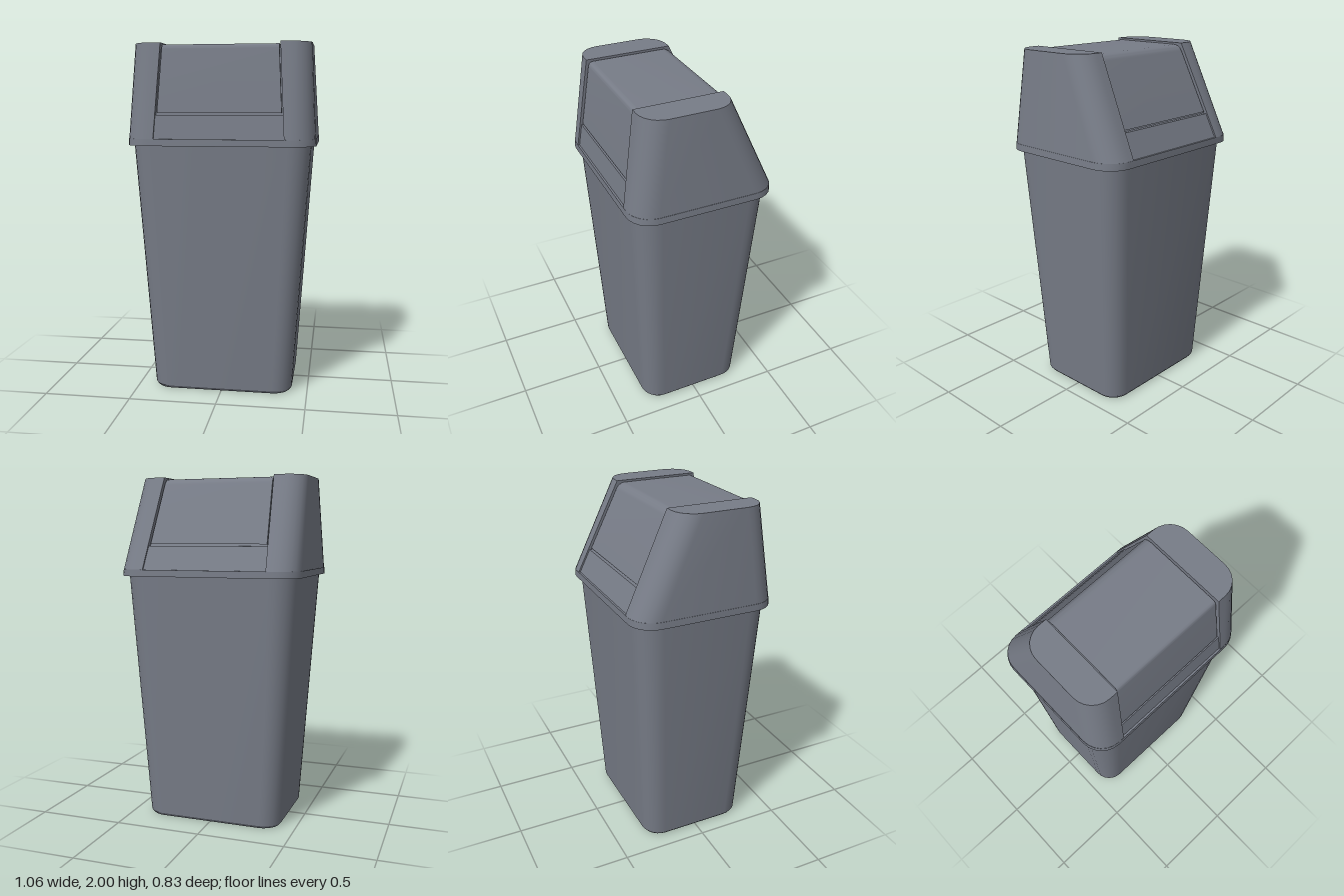
import * as THREE from 'three';
import { toCreasedNormals } from 'three/addons/utils/BufferGeometryUtils.js';

const Y0 = 1.475, Y1 = 2; // lid hood bottom and top
const mix = (a, b, y) => a + (b - a) * (y - Y0) / (Y1 - Y0);
const halfWidth = y => mix(0.36, 0.33, y);          // half width of the flap opening
const frontZ = (y, inset = 0) => mix(0.412, 0.335, y) - inset;
const backZ = (y, inset = 0) => mix(-0.412, -0.16, y) + inset;

// Rounded corner points in the xz plane
function corner(cx, cz, r, start, y, n = 6) {
  return Array.from({ length: n + 1 }, (_, i) => {
    const a = start + (i / n) * Math.PI / 2;
    return [cx + r * Math.cos(a), y, cz + r * Math.sin(a)];
  });
}

// Full rounded rectangle, centred
function rectRing(y, hx, hz, r) {
  return [[1, 1, 0], [-1, 1, 1], [-1, -1, 2], [1, -1, 3]].flatMap(([sx, sz, q]) =>
    corner(sx * (hx - r), sz * (hz - r), r, q * Math.PI / 2, y));
}

// D-shaped section of one hood end
function endRing(y, hx, r, side) {
  const xi = halfWidth(y), z0 = backZ(y), z1 = frontZ(y);
  const pts = [[xi, y, z0], ...corner(hx - r, z0 + r, r, -Math.PI / 2, y),
    ...corner(hx - r, z1 - r, r, 0, y), [xi, y, z1]];
  return side > 0 ? pts : pts.map(([x, py, z]) => [-x, py, z]).reverse();
}

// Skin a stack of equal-length rings, with flat caps at both ends
function loft(rings, capped = true) {
  const n = rings[0].length, pos = rings.flat(2), index = [];
  for (let i = 0; i < rings.length - 1; i++) {
    for (let j = 0; j < n; j++) {
      const k = (j + 1) % n, a = i * n + j, b = i * n + k;
      index.push(a, a + n, b, b, a + n, b + n);
    }
  }
  const last = (rings.length - 1) * n;
  if (capped) {
    for (let j = 1; j < n - 1; j++) {
      index.push(0, j, j + 1, last, last + j + 1, last + j);
    }
  }
  const g = new THREE.BufferGeometry();
  g.setAttribute('position', new THREE.Float32BufferAttribute(pos, 3));
  g.setIndex(index);
  return toCreasedNormals(g, 0.4);
}

// Side profile drawn in (-z, y), swept across the opening and tapered with height
function sweep(shape, gap = 0) {
  const g = new THREE.ExtrudeGeometry(shape, { depth: 2, bevelEnabled: false, curveSegments: 8 });
  g.translate(0, 0, -1).rotateY(Math.PI / 2);
  const p = g.attributes.position;
  for (let i = 0; i < p.count; i++) p.setX(i, p.getX(i) * (halfWidth(p.getY(i)) - gap));
  return toCreasedNormals(g, 0.4);
}

function bandShape(y0, y1, inset) {
  return new THREE.Shape([[-frontZ(y0, inset), y0], [-backZ(y0, inset), y0],
    [-backZ(y1, inset), y1], [-frontZ(y1, inset), y1]].map(p => new THREE.Vector2(...p)));
}

// Saddle-shaped flap with softened upper edges
function flapShape() {
  const y0 = 1.618, top = 1.99, d = 0.013, s = new THREE.Shape();
  s.moveTo(-frontZ(y0, d), y0);
  s.lineTo(-backZ(y0, d), y0);
  s.lineTo(-backZ(top - 0.035, d), top - 0.035);
  s.quadraticCurveTo(-backZ(top, d), top, -backZ(top, d) - 0.04, top);
  s.lineTo(-frontZ(top, d) + 0.025, top);
  s.quadraticCurveTo(-frontZ(top, d), top, -frontZ(top - 0.025, d), top - 0.025);
  s.closePath();
  return s;
}

export function createModel() {
  const model = new THREE.Group();
  model.name = 'swingTopBin';
  const plastic = new THREE.MeshStandardMaterial({ color: 0x777c87 });
  plastic.name = 'greyPlastic';
  const add = (name, geometry, parent = model) => {
    const mesh = new THREE.Mesh(geometry, plastic);
    mesh.name = name;
    parent.add(mesh);
  };

  // Tapered container with a chamfered foot
  add('body', loft([
    rectRing(0, 0.397, 0.302, 0.1),
    rectRing(0.016, 0.409, 0.314, 0.11),
    rectRing(1.47, 0.504, 0.386, 0.13),
  ]));

  const lid = new THREE.Group();
  lid.name = 'lid';
  model.add(lid);

  // Overhanging rim, hollow underneath
  add('rim', loft([
    rectRing(1.465, 0.516, 0.401, 0.125),
    rectRing(1.437, 0.516, 0.401, 0.125),
    rectRing(1.437, 0.53, 0.415, 0.135),
    rectRing(Y0, 0.528, 0.413, 0.135),
  ]), lid);

  // Hood ends on both sides of the opening
  for (const side of [1, -1]) {
    add(side > 0 ? 'leftHoodEnd' : 'rightHoodEnd',
      loft([endRing(Y0, 0.526, 0.133, side), endRing(Y1, 0.497, 0.12, side)]), lid);
  }

  // Sills below the flap, front and back, and the core seen in the gaps
  add('sills', sweep(bandShape(Y0, 1.607, 0.01)), lid);
  add('hoodCore', sweep(bandShape(1.6, 1.965, 0.032)), lid);
  add('flap', sweep(flapShape(), 0.008), lid);

  return model;
}
